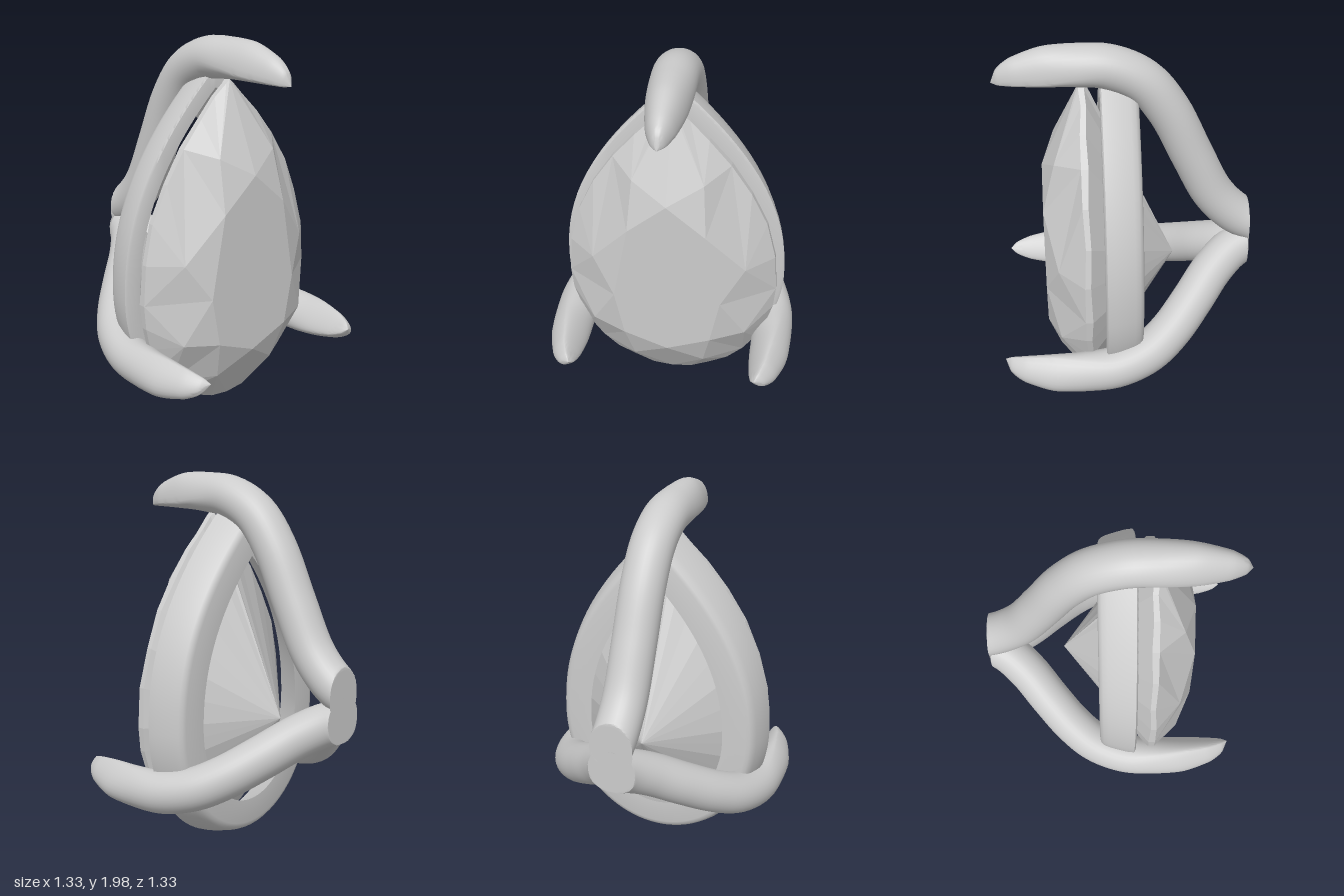
import * as THREE from 'three';
import { toCreasedNormals } from 'three/addons/utils/BufferGeometryUtils.js';

const V = (x, y, z) => new THREE.Vector3(x, y, z);
const HUB_Y = 0.785, BACK_Z = -0.665, WIDEST_Y = 0.7;

// Skin closed rings of equal length into a surface.
function loft(rings, closed = false) {
  const n = rings[0].length, index = [];
  const count = closed ? rings.length : rings.length - 1;
  for (let i = 0; i < count; i++) {
    for (let j = 0; j < n; j++) {
      const a = i * n + j, b = i * n + (j + 1) % n;
      const next = ((i + 1) % rings.length) * n;
      const d = next + j, c = next + (j + 1) % n;
      index.push(a, d, b, b, d, c);
    }
  }
  const geometry = new THREE.BufferGeometry().setFromPoints(rings.flat());
  geometry.setIndex(index);
  return toCreasedNormals(geometry, 0.6);
}

// Point on a pear outline: theta 0 is the tip, pi the round bottom.
function pear(theta, halfWidth, bottom, top, z) {
  const c = Math.cos(theta), s = Math.sin(theta);
  if (c <= 0) return V(-halfWidth * s, WIDEST_Y + c * (WIDEST_Y - bottom), z);
  return V(-halfWidth * Math.sign(s) * (1 - c ** 2.2), WIDEST_Y + c * (top - WIDEST_Y), z);
}

// Pear-shaped seat: a profile of [inset, z] carried round the outline.
function bezelGeometry() {
  const profile = [[0.09, 0.13], [0.012, 0.13], [0, 0.122], [0.005, 0.08], [0.018, 0.03], [0.033, -0.02],
    [0.045, -0.045], [0.06, -0.06], [0.08, -0.066], [0.21, -0.066]];
  const n = 96;
  return loft(profile.map(([d, z]) => Array.from({ length: n }, (_, k) =>
    pear(k / n * 2 * Math.PI, 0.595 - d, 0.01 + d, 1.84 - 1.3 * d, z))), true);
}

// Faceted pear-cut stone.
function stoneGeometry() {
  const points = [];
  const tri = (a, b, c) => points.push(a, b, c);
  const tableHalf = [[0, 1.32], [0.2, 1.15], [0.28, 0.72], [0.23, 0.46], [0, 0.37]];
  const starHalf = [[0.18, 1.42, 0.37], [0.4, 0.91, 0.365], [0.41, 0.48, 0.365], [0.19, 0.25, 0.37]];
  const table = i => {
    i = (i + 8) % 8;
    const [x, y] = tableHalf[i <= 4 ? i : 8 - i];
    return V(i <= 4 ? -x : x, y, 0.435);
  };
  const star = i => {
    i = (i + 8) % 8;
    const [x, y, z] = starHalf[i < 4 ? i : 7 - i];
    return V(i < 4 ? -x : x, y, z);
  };
  const girdle = (k, z) => pear((k % 32) * Math.PI / 16, 0.56, 0.04, 1.78, z);
  const top = k => girdle(k, k % 4 === 2 ? 0.225 : 0.235);
  const low = k => girdle(k, k % 2 ? 0.205 : 0.198);
  const middle = V(0, 0.75, 0.435), apex = V(0, 0.72, -0.265);
  for (let i = 0; i < 8; i++) {
    tri(middle, table(i), table(i + 1));
    tri(table(i), star(i), table(i + 1));
    tri(table(i), star(i - 1), top(4 * i));
    tri(table(i), top(4 * i), star(i));
    for (let k = 4 * i; k < 4 * i + 4; k++) {
      tri(star(i), top(k), top(k + 1));
      tri(top(k), low(k), top(k + 1));
      tri(top(k + 1), low(k), low(k + 1));
      tri(low(k), apex, low(k + 1));
    }
  }
  const geometry = new THREE.BufferGeometry().setFromPoints(points);
  geometry.computeVertexNormals();
  return geometry;
}

// Claw in its own plane: stations of [z, distance from hub], swept from tip to hub.
function prongGeometry(reach, shank) {
  const tip = [[0.665, 0], [0.63, 0.004], [0.55, 0.015], [0.4, 0.03], [0.25, 0.055], [0.08, 0.067]];
  const path = [...tip.map(([z, r]) => [z, r + reach]), ...shank];
  // Outer height, inner height and half width; the underside of the tip is flat.
  const sizes = [[0, 0, 0], [0.065, 0.01, 0.035], [0.115, 0.022, 0.07], [0.152, 0.04, 0.1],
    [0.137, 0.075, 0.113], [0.112, 0.112, 0.115]];
  while (sizes.length < path.length) sizes.push([0.112, 0.112, 0.115]);
  const spine = new THREE.CatmullRomCurve3(path.map(([z, r]) => V(0, r, z)));
  const size = new THREE.CatmullRomCurve3(sizes.map(s => V(...s)), false, 'catmullrom', 0.5);
  const steps = 72, sides = 32, rings = [];
  for (let i = 0; i <= steps; i++) {
    const p = spine.getPoint(i / steps), t = spine.getTangent(i / steps), s = size.getPoint(i / steps);
    const ring = [];
    for (let j = 0; j < sides; j++) {
      const a = j / sides * 2 * Math.PI;
      const h = Math.sin(a) * Math.max(0, Math.sin(a) > 0 ? s.x : s.y);
      ring.push(V(Math.max(0, s.z) * Math.cos(a), p.y - t.z * h, Math.max(BACK_Z, p.z + t.y * h)));
    }
    rings.push(ring);
  }
  // Flat cut at the back.
  const end = V(0, spine.getPoint(1).y, BACK_Z);
  rings.push(rings[0].map(() => end.clone()));
  return loft(rings);
}

export function createModel() {
  const group = new THREE.Group();
  const metal = new THREE.MeshStandardMaterial({ color: 0xcccccc, side: THREE.DoubleSide });
  const gem = new THREE.MeshStandardMaterial({ color: 0xcccccc, flatShading: true });
  const add = (name, geometry, material) => {
    const mesh = new THREE.Mesh(geometry, material);
    mesh.name = name;
    group.add(mesh);
    return mesh;
  };

  add('stone', stoneGeometry(), gem);
  add('bezel', bezelGeometry(), metal);

  const topShank = [[-0.09, 1.0], [-0.22, 0.835], [-0.35, 0.565], [-0.47, 0.325], [-0.58, 0.2],
    [-0.665, 0.145], [-0.8, 0.1]];
  add('topProng', prongGeometry(1.015, topShank), metal).position.y = HUB_Y;

  // Two lower claws, mirrored.
  const lowShank = [[-0.09, 0.61], [-0.22, 0.495], [-0.35, 0.33], [-0.47, 0.165], [-0.58, 0.055],
    [-0.665, 0.01], [-0.8, -0.02]];
  const lower = prongGeometry(0.612, lowShank);
  for (const [name, side] of [['leftProng', -1], ['rightProng', 1]]) {
    const prong = add(name, lower, metal);
    prong.position.y = HUB_Y;
    prong.rotation.z = side * 2.214;
  }
  return group;
}
